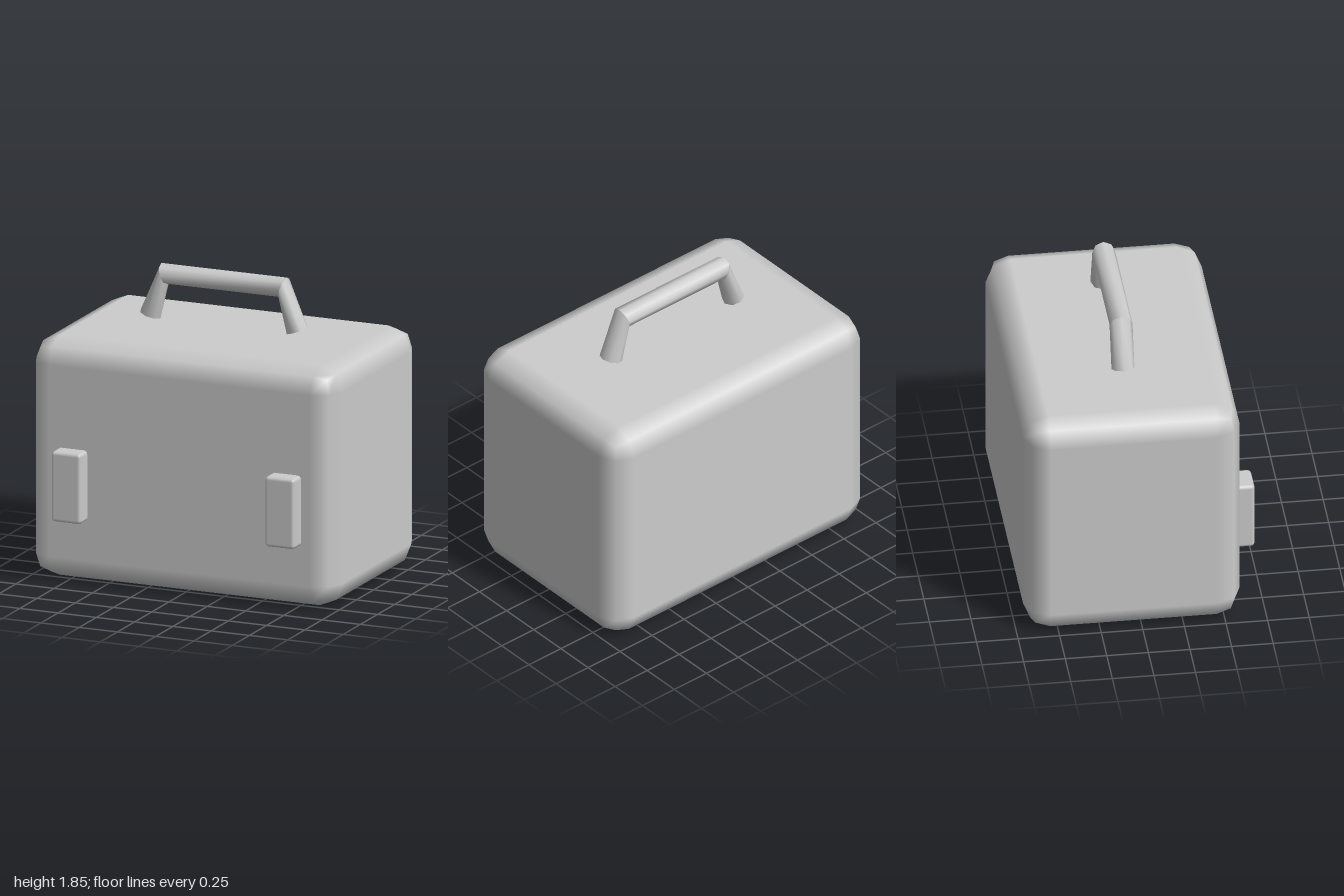
import * as THREE from 'three';
import { RoundedBoxGeometry } from 'three/addons/geometries/RoundedBoxGeometry.js';

const SIDES = 8;
const HANDLE_Z = -0.05;

// One ring of the handle: centre, half-axis in the xy plane, fixed half-depth in z
function ringPoints([cx, cy, ux, uy]) {
  const points = [];
  for (let j = 0; j < SIDES; j++) {
    const a = (j / SIDES) * Math.PI * 2;
    const c = Math.cos(a);
    points.push(cx + ux * c, cy + uy * c, HANDLE_Z + 0.069 * Math.sin(a));
  }
  return points;
}

function geometryFrom(positions, index) {
  const g = new THREE.BufferGeometry();
  g.setAttribute('position', new THREE.Float32BufferAttribute(positions, 3));
  g.setIndex(index);
  g.computeVertexNormals();
  return g;
}

// Smooth octagonal sleeve between two rings
function sleeve(from, to) {
  const index = [];
  for (let j = 0; j < SIDES; j++) {
    const k = (j + 1) % SIDES;
    index.push(j, k, j + SIDES, k, k + SIDES, j + SIDES);
  }
  return geometryFrom([...ringPoints(from), ...ringPoints(to)], index);
}

// Flat end of the handle
function cap(ring, flip) {
  const index = [];
  for (let j = 1; j < SIDES - 1; j++) index.push(0, flip ? j + 1 : j, flip ? j : j + 1);
  return geometryFrom(ringPoints(ring), index);
}

export function createModel() {
  const model = new THREE.Group();
  model.name = 'carryCase';
  const grey = new THREE.MeshStandardMaterial({ color: 0xcccccc });
  grey.name = 'lightGrey';

  const add = (parent, name, geometry) => {
    const mesh = new THREE.Mesh(geometry, grey);
    mesh.name = name;
    parent.add(mesh);
    return mesh;
  };

  // Case body with broad two-step bevels
  add(model, 'body', new RoundedBoxGeometry(2, 1.48, 1.3, 1, 0.15)).position.set(0, 0.74, -0.05);

  // Front latches, set slightly into the body
  for (const [side, name] of [[1, 'leftLatch'], [-1, 'rightLatch']]) {
    add(model, name, new RoundedBoxGeometry(0.195, 0.435, 0.15, 1, 0.022))
      .position.set(side * 0.6975, 0.612, 0.627);
  }

  // Mitred carrying handle with splayed legs
  const handle = new THREE.Group();
  handle.name = 'handle';
  model.add(handle);
  const foot = [-0.478, 1.529, -0.065, 0.021];
  const corner = [-0.39, 1.7875, -0.02, 0.0625];
  const mirror = ([cx, cy, ux, uy]) => [-cx, cy, -ux, uy];
  const rings = [foot, corner, mirror(corner), mirror(foot)];
  ['rightLeg', 'grip', 'leftLeg'].forEach((name, i) => add(handle, name, sleeve(rings[i], rings[i + 1])));
  add(handle, 'rightLegEnd', cap(rings[0], true));
  add(handle, 'leftLegEnd', cap(rings[3], false));

  return model;
}
